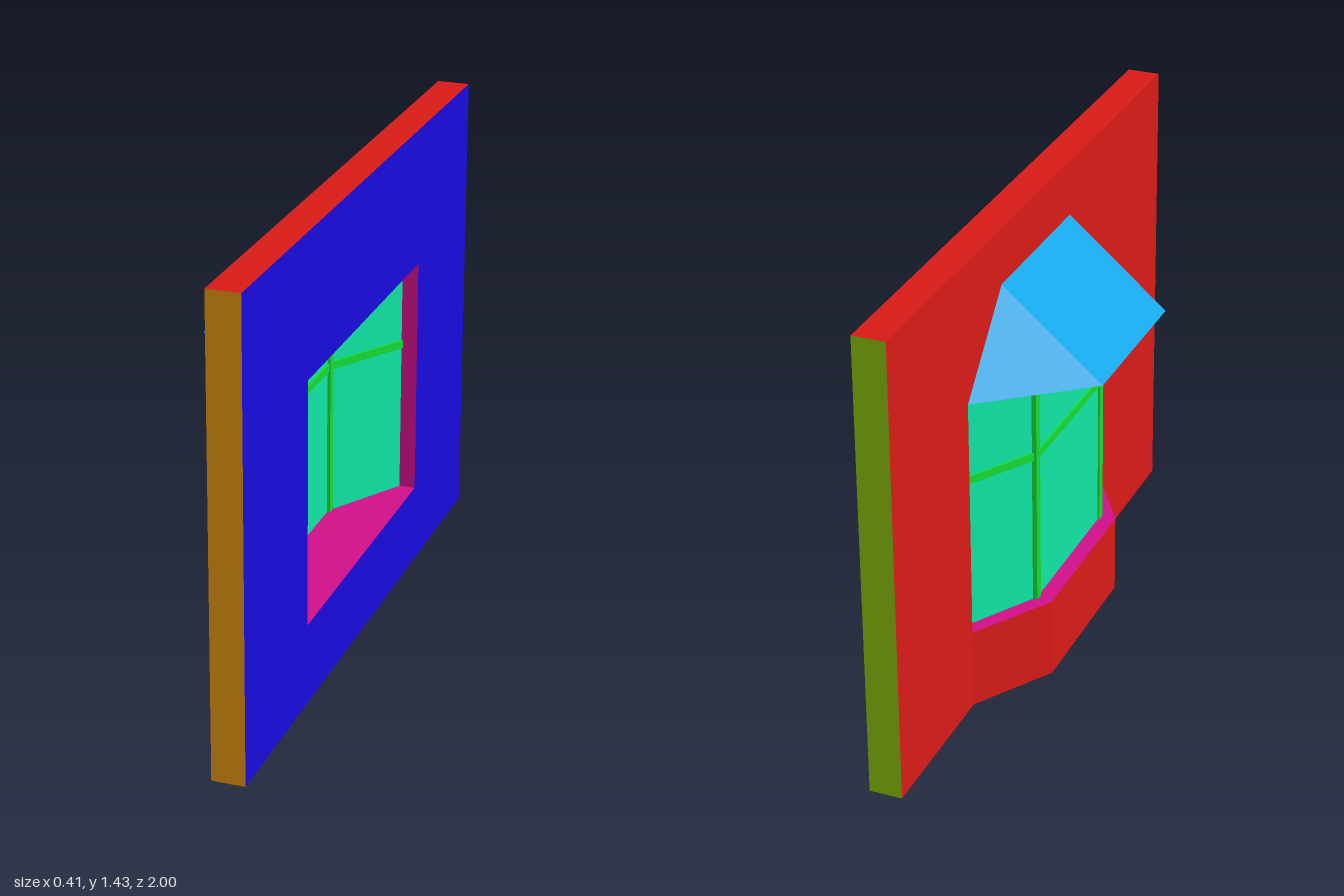
import * as THREE from 'three';
import { ConvexGeometry } from 'three/addons/geometries/ConvexGeometry.js';

const mat = (color, side = THREE.FrontSide) => new THREE.MeshStandardMaterial({ color, side });

// Mesh whose triangles take a material chosen from their centre and normal
function paintedMesh(name, geometry, materials, pick) {
  const g = geometry.index ? geometry.toNonIndexed() : geometry;
  g.clearGroups();
  const p = g.attributes.position;
  const tri = new THREE.Triangle();
  const centre = new THREE.Vector3(), normal = new THREE.Vector3();
  for (let i = 0; i < p.count; i += 3) {
    tri.setFromAttributeAndIndices(p, i, i + 1, i + 2);
    tri.getMidpoint(centre);
    tri.getNormal(normal);
    g.addGroup(i, 3, pick(centre, normal));
  }
  const mesh = new THREE.Mesh(g, materials);
  mesh.name = name;
  return mesh;
}

const points = (list) => list.map(([x, y]) => new THREE.Vector2(x, y));
const rectangle = (w, y0, y1) => points([[-w, y0], [w, y0], [w, y1], [-w, y1]]);

export function createModel() {
  const model = new THREE.Group();
  model.name = 'bayWindowWall';

  const red = mat(0xd81b17), pink = mat(0xd0108a), blue = mat(0x170bdc);
  const orange = mat(0xd88f10), lime = mat(0x84b80d), cyan = mat(0x10a6e8);
  const barGreen = mat(0x16dc34);
  const glassGreen = mat(0x10e6a4, THREE.DoubleSide);

  const sillY = 0.25, headY = 1, wallX = 0.1, thickness = 0.1;

  // Wall slab with a square opening
  const wallShape = new THREE.Shape(rectangle(1, 0, 1.43));
  wallShape.holes.push(new THREE.Path(rectangle(0.5, sillY, headY)));
  const wall = new THREE.ExtrudeGeometry(wallShape, { depth: thickness, bevelEnabled: false });
  wall.rotateY(Math.PI / 2).translate(wallX, 0, 0);
  model.add(paintedMesh('wall', wall, [red, blue, orange, lime, pink], (c, n) => {
    if (n.x > 0.5) return 1;
    if (n.x < -0.5) return 0;
    if (c.z > 0.9) return 2;
    if (c.z < -0.9) return 3;
    return c.y > 1.4 || c.y < 0.01 ? 0 : 4;
  }));

  // Plinth under the bay, with a sill on top
  const footprint = new THREE.Shape(points([[wallX, -0.5], [wallX, 0.5], [-0.05, 0.26], [-0.05, -0.26]]));
  const plinth = new THREE.ExtrudeGeometry(footprint, { depth: sillY, bevelEnabled: false });
  plinth.rotateX(-Math.PI / 2);
  model.add(paintedMesh('plinth', plinth, [red, pink], (c, n) => (n.y > 0.5 ? 1 : 0)));

  // Hipped canopy roof with a soffit below
  const roofPoints = [];
  for (const s of [-1, 1]) {
    roofPoints.push(
      new THREE.Vector3(-0.205, headY, s * 0.255),
      new THREE.Vector3(wallX, 1.26, s * 0.255),
      new THREE.Vector3(wallX, headY, s * 0.5));
  }
  model.add(paintedMesh('roof', new ConvexGeometry(roofPoints), [cyan, pink],
    (c, n) => (n.y < -0.5 ? 1 : 0)));

  // Glazing: three panes along the bay, each crossed by a glazing bar
  const glazing = new THREE.Group();
  glazing.name = 'glazing';
  const corners = [[0.15, -0.5], [0, -0.25], [0, 0.25], [0.15, 0.5]];
  const height = headY - sillY;
  const add = (name, geometry, material, x, y, z, turn = 0) => {
    const mesh = new THREE.Mesh(geometry, material);
    mesh.name = name;
    mesh.position.set(x, y, z);
    mesh.rotation.y = turn;
    glazing.add(mesh);
  };
  for (let i = 0; i < 3; i++) {
    const [x0, z0] = corners[i], [x1, z1] = corners[i + 1];
    const length = Math.hypot(x1 - x0, z1 - z0);
    const turn = Math.atan2(x1 - x0, z1 - z0);
    const x = (x0 + x1) / 2, z = (z0 + z1) / 2;
    add('pane', new THREE.PlaneGeometry(length, height).rotateY(Math.PI / 2), glassGreen,
      x, sillY + height / 2, z, turn);
    add('glazingBar', new THREE.BoxGeometry(0.012, 0.025, length), barGreen, x, 0.732, z, turn);
  }

  // Corner mullions
  for (const s of [-1, 1]) {
    add('mullion', new THREE.BoxGeometry(0.015, height, 0.028), barGreen,
      0.002, sillY + height / 2, s * 0.25);
  }
  model.add(glazing);

  return model;
}
